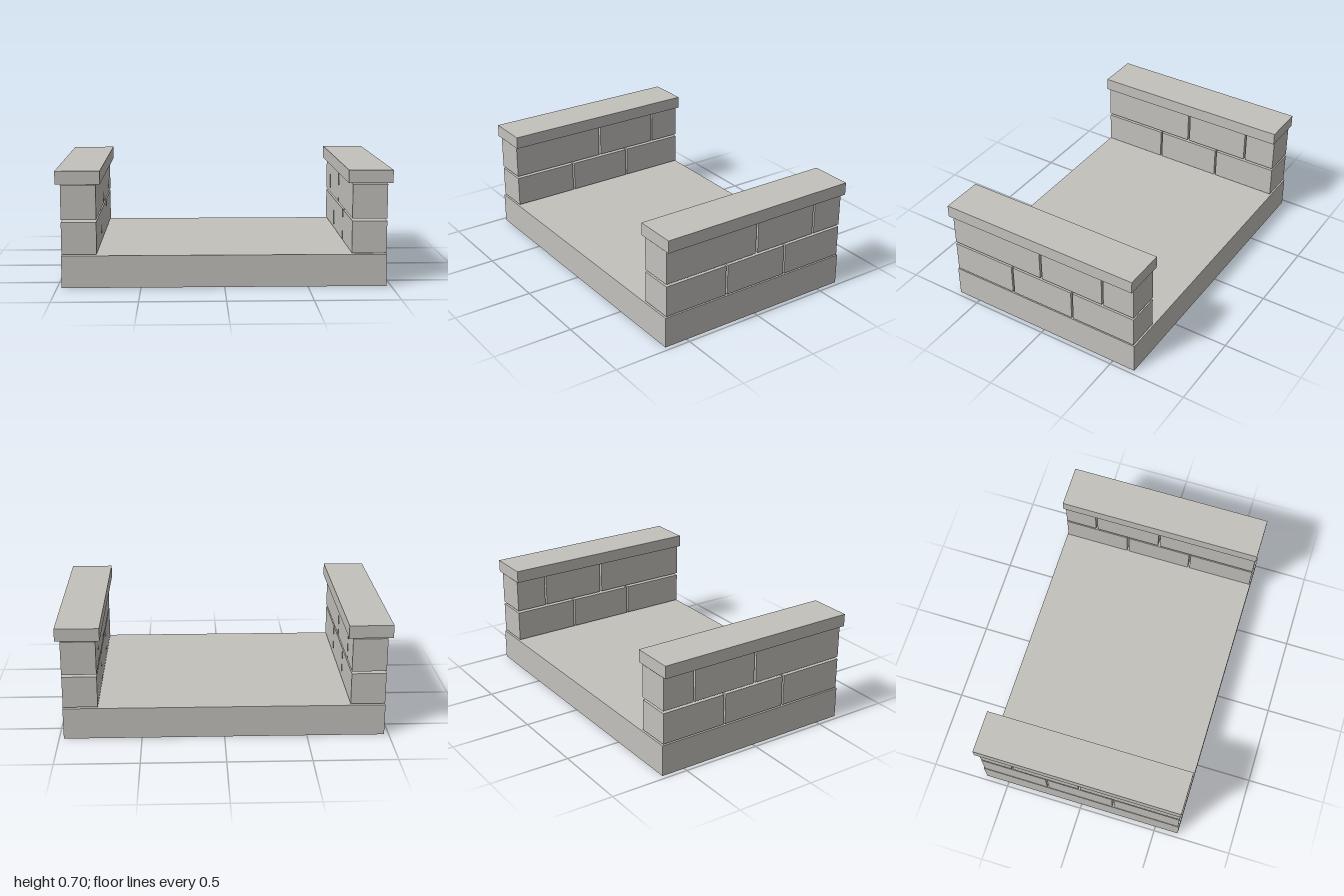
import * as THREE from 'three';

export function createModel() {
  const model = new THREE.Group();
  model.name = 'stoneHearth';
  const stone = new THREE.MeshStandardMaterial({ color: 0xc3c1bc });
  stone.name = 'light grey stone';

  // Box given by its lower and upper limits on each axis
  function block(name, [x0, x1], [y0, y1], [z0, z1], parent) {
    const mesh = new THREE.Mesh(new THREE.BoxGeometry(x1 - x0, y1 - y0, z1 - z0), stone);
    mesh.position.set((x0 + x1) / 2, (y0 + y1) / 2, (z0 + z1) / 2);
    mesh.name = name;
    parent.add(mesh);
  }

  // Base slab
  block('baseSlab', [-0.972, 0.972], [0, 0.195], [-0.65, 0.65], model);

  // Staggered brick courses, with open joints between the bricks
  const courses = [
    { name: 'lowerBrick', y: [0.202, 0.396], z: [[0.222, 0.643], [-0.21, 0.21], [-0.643, -0.222]] },
    { name: 'upperBrick', y: [0.411, 0.617], z: [[0.007, 0.643], [-0.427, -0.007], [-0.643, -0.439]] },
  ];

  // Side walls, each topped by an overhanging coping stone
  for (const side of [1, -1]) {
    const wall = new THREE.Group();
    wall.name = side > 0 ? 'leftWall' : 'rightWall';
    const span = (inner, outer) => (side > 0 ? [inner, outer] : [-outer, -inner]);
    for (const course of courses) {
      course.z.forEach((z, i) => block(course.name + (i + 1), span(0.761, 0.97), course.y, z, wall));
    }
    block('coping', span(0.735, 1), [0.624, 0.702], [-0.65, 0.65], wall);
    model.add(wall);
  }

  return model;
}
